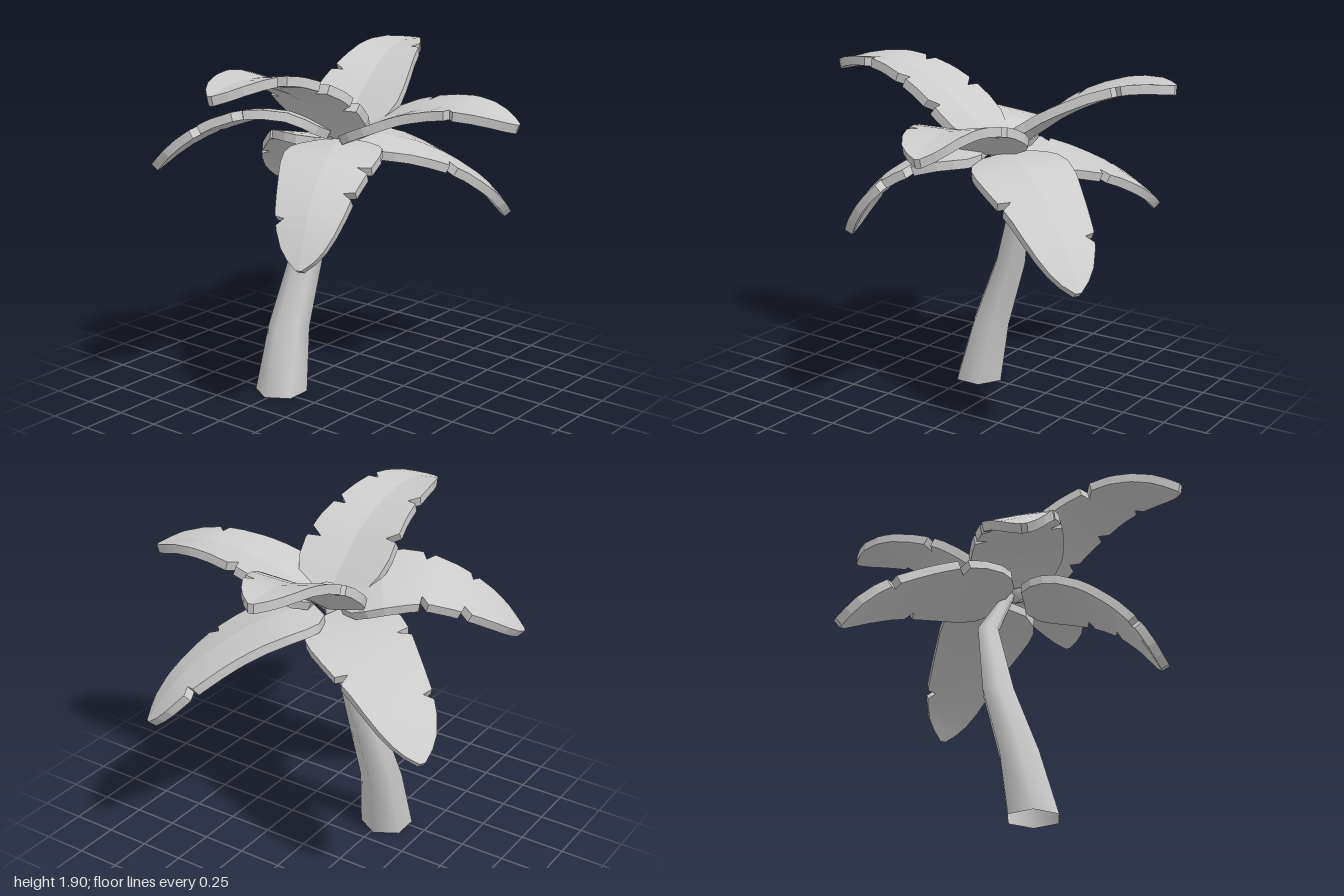
import * as THREE from 'three';
import { toCreasedNormals } from 'three/addons/utils/BufferGeometryUtils.js';

const material = new THREE.MeshStandardMaterial({ color: 0xcccccc });
const openMaterial = new THREE.MeshStandardMaterial({ color: 0xcccccc, side: THREE.DoubleSide });
const UP = new THREE.Vector3(0, 1, 0);

// Skin a list of equal-length rings; optional caps fan from vertex 1.
function loft(rings, creaseAngle, capped) {
  const n = rings[0].length;
  const last = (rings.length - 1) * n;
  const index = [];
  for (let i = 0; i < last; i += n) {
    for (let j = 0; j < n; j++) {
      const k = (j + 1) % n;
      index.push(i + j, i + n + j, i + n + k, i + j, i + n + k, i + k);
    }
  }
  for (let j = 2; capped && j < n; j++) {
    const k = (j + 1) % n;
    index.push(1, j, k, last + 1, last + k, last + j);
  }
  const geometry = new THREE.BufferGeometry();
  geometry.setFromPoints(rings.flat());
  geometry.setIndex(index);
  return toCreasedNormals(geometry, creaseAngle);
}

// Half width of a leaf along its length: [t, width]
const LEAF_PROFILE = [
  [0, 0.13], [0.06, 0.215], [0.13, 0.25], [0.22, 0.262], [0.34, 0.25], [0.46, 0.228],
  [0.58, 0.205], [0.7, 0.183], [0.8, 0.155], [0.89, 0.115], [0.95, 0.07], [1, 0.015],
];

function leafWidth(t, notches) {
  let i = 1;
  while (i < LEAF_PROFILE.length - 1 && LEAF_PROFILE[i][0] < t) i++;
  const [t0, w0] = LEAF_PROFILE[i - 1];
  const [t1, w1] = LEAF_PROFILE[i];
  let w = w0 + (w1 - w0) * (t - t0) / (t1 - t0);
  for (const n of notches) {
    const d = t - n;
    if (d > 0 && d < 0.05) w *= 1 - 0.28 * (d <= 0.012 ? d / 0.012 : (0.05 - d) / 0.038);
  }
  return w;
}

// A leaf follows a curved midrib and has torn nicks. A positive fold lifts both
// edges above the midrib; a positive roll lowers the right edge.
function leafGeometry({ spine, right, left, roll, fold }) {
  const HALF_THICKNESS = 0.025;
  const curve = new THREE.CatmullRomCurve3(spine.map((p) => new THREE.Vector3(...p)));
  const stations = LEAF_PROFILE.map((p) => p[0]);
  for (const n of [...right, ...left]) stations.push(n, n + 0.012, n + 0.05);
  const ts = [...new Set(stations)].sort((a, b) => a - b);

  const rings = ts.map((t) => {
    const centre = curve.getPointAt(t);
    const tangent = curve.getTangentAt(t);
    const side = tangent.clone().cross(UP).normalize().applyAxisAngle(tangent, roll);
    const normal = side.clone().cross(tangent);
    const r = leafWidth(t, right);
    const l = leafWidth(t, left);
    const point = (s, h) => centre.clone()
      .addScaledVector(side, s)
      .addScaledVector(normal, Math.abs(s) * fold + h * HALF_THICKNESS);
    return [point(r, 1), point(0, 1), point(-l, 1), point(-l, -1), point(0, -1), point(r, -1)];
  });
  return loft(rings, 0.17, true);
}

// Midrib points and nick positions on the right and left edges (looking outward)
const LEAVES = {
  frontLeaf: {
    spine: [[-0.02, 1.47, 0], [-0.02, 1.6, 0.14], [-0.02, 1.75, 0.34],
      [-0.03, 1.845, 0.6], [-0.03, 1.85, 0.81], [-0.03, 1.81, 1]],
    right: [0.31, 0.56], left: [0.24, 0.44, 0.68], roll: 0.02, fold: 0.12,
  },
  backLeaf: {
    spine: [[-0.08, 1.46, -0.1], [-0.1, 1.56, -0.25], [-0.13, 1.68, -0.42],
      [-0.18, 1.785, -0.64], [-0.22, 1.83, -0.83], [-0.24, 1.835, -1]],
    right: [0.71], left: [0.42], roll: 0, fold: 0.13,
  },
  leftLeaf: {
    spine: [[0.02, 1.45, -0.06], [0.2, 1.535, -0.09], [0.4, 1.615, -0.13],
      [0.62, 1.655, -0.17], [0.8, 1.64, -0.2], [0.95, 1.59, -0.24]],
    right: [0.66], left: [0.42], roll: 0.05, fold: 0.09,
  },
  backLeftLeaf: {
    spine: [[0, 1.42, -0.12], [0.12, 1.41, -0.3], [0.25, 1.335, -0.48],
      [0.37, 1.21, -0.66], [0.46, 1.075, -0.79], [0.52, 0.93, -0.88]],
    right: [0.45], left: [0.72], roll: 0.1, fold: -0.09,
  },
  frontLeftLeaf: {
    spine: [[0, 1.43, 0], [0.08, 1.425, 0.18], [0.155, 1.365, 0.36],
      [0.215, 1.25, 0.52], [0.26, 1.1, 0.64], [0.29, 0.94, 0.72]],
    right: [0.72], left: [0.36, 0.55], roll: 0.02, fold: -0.09,
  },
  frontRightLeaf: {
    spine: [[-0.08, 1.47, 0], [-0.25, 1.56, 0.1], [-0.45, 1.57, 0.23],
      [-0.65, 1.49, 0.35], [-0.79, 1.385, 0.45], [-0.89, 1.265, 0.53]],
    right: [0.4, 0.62], left: [0.42, 0.66], roll: 0.2, fold: -0.03,
  },
  backRightLeaf: {
    spine: [[-0.1, 1.4, -0.08], [-0.3, 1.385, -0.19], [-0.49, 1.33, -0.31],
      [-0.68, 1.235, -0.42], [-0.83, 1.125, -0.51], [-0.93, 1.01, -0.57]],
    right: [0.45], left: [0.3, 0.68], roll: 0.17, fold: -0.03,
  },
};

// Leaning six-sided trunk: [x, y, z, radius]
const TRUNK = [
  [-0.267, 0, 0.215, 0.147], [-0.273, 0.36, 0.135, 0.117], [-0.255, 0.75, -0.005, 0.095],
  [-0.193, 1.17, -0.113, 0.063], [-0.085, 1.38, -0.07, 0.04], [-0.05, 1.45, -0.055, 0.036],
];

function trunkGeometry() {
  const rings = TRUNK.map(([x, y, z, r]) => Array.from({ length: 6 }, (_, j) => {
    const a = (j * Math.PI) / 3;
    return new THREE.Vector3(x + r * Math.sin(a), y, z - r * Math.cos(a));
  }));
  return loft(rings, 1.2, false);
}

export function createModel() {
  const model = new THREE.Group();
  model.name = 'palmTree';
  const add = (name, geometry, mat = material) => {
    const mesh = new THREE.Mesh(geometry, mat);
    mesh.name = name;
    model.add(mesh);
    return mesh;
  };

  // Trunk is a tube, open at the foot
  add('trunk', trunkGeometry(), openMaterial);

  // Bud where the leaves meet
  add('crownBud', new THREE.SphereGeometry(0.075, 8, 6)).position.set(-0.03, 1.48, -0.05);

  for (const [name, leaf] of Object.entries(LEAVES)) add(name, leafGeometry(leaf));
  return model;
}
